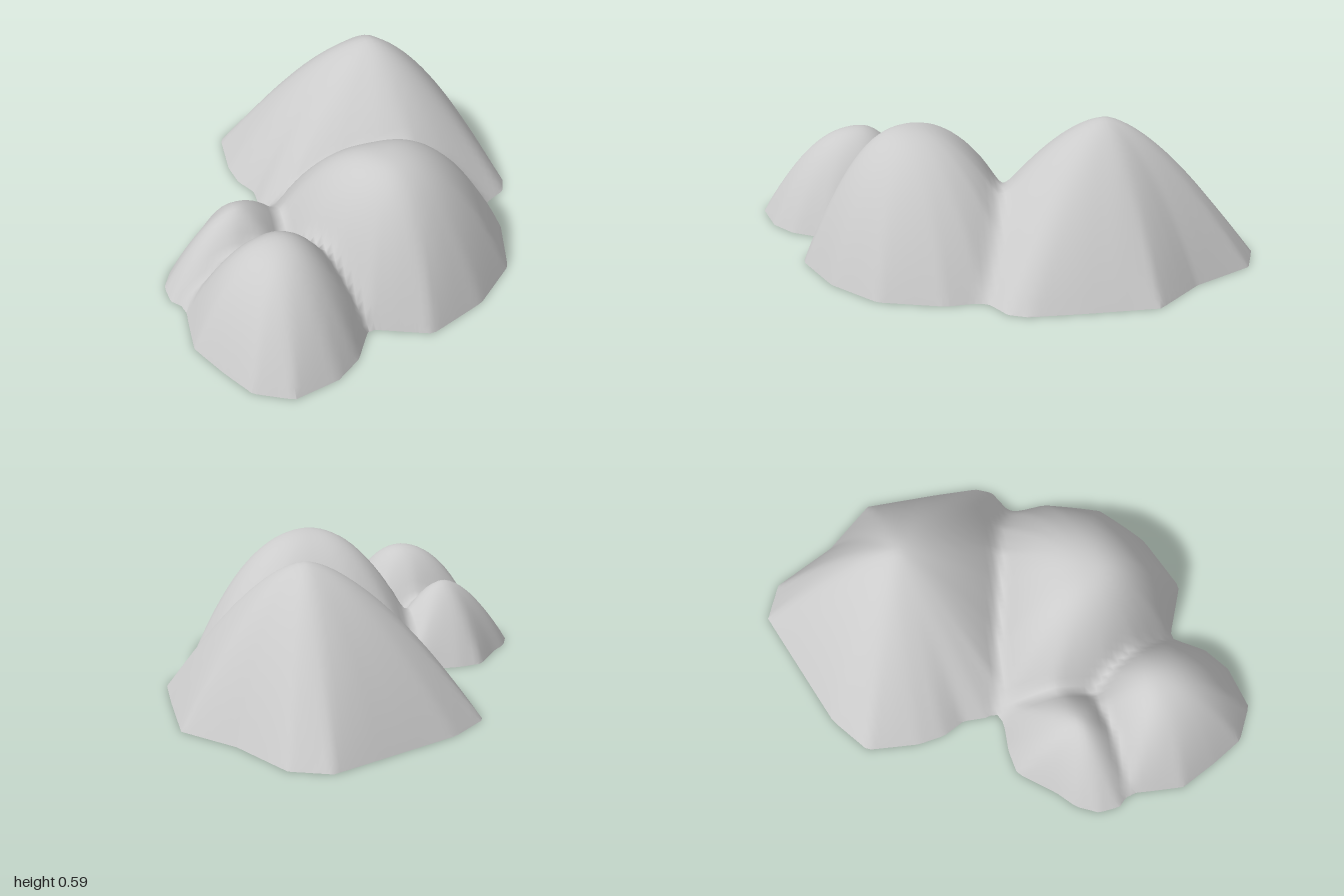
import * as THREE from 'three';
import { mergeVertices } from 'three/addons/utils/BufferGeometryUtils.js';

// Each mound: peak (x, z), height, roundness of its slope, and its footprint as [x, z] corners
const mounds = [
  { // back mound
    x: 0.27, z: -0.38, height: 0.59, power: 1.57,
    outline: [[0.3, -1], [0.45, -0.94], [0.59, -0.69], [0.77, -0.5], [0.778, -0.2], [0.778, 0],
      [0.75, 0.07], [0.63, 0.14], [0.36, 0.3], [0.05, 0.18], [-0.26, 0], [-0.3, -0.12], [-0.3, -0.22],
      [-0.35, -0.31], [-0.37, -0.42], [-0.36, -0.64], [-0.21, -0.77]],
  },
  { // middle mound
    x: 0.1, z: 0.38, height: 0.535, power: 2.2,
    outline: [[0.65, 0.29], [0.58, 0.54], [0.4, 0.71], [0.16, 0.82], [-0.07, 0.73], [-0.22, 0.58],
      [-0.32, 0.4], [-0.37, 0.12], [-0.27, -0.06], [-0.1, -0.11], [0.12, -0.12], [0.42, -0.12],
      [0.57, 0], [0.635, 0.14]],
  },
  { // front mound
    x: -0.37, z: 0.57, height: 0.39, power: 2.1,
    outline: [[-0.725, 0.5], [-0.73, 0.65], [-0.65, 0.8], [-0.57, 0.93], [-0.43, 1], [-0.25, 0.95],
      [-0.15, 0.87], [-0.07, 0.73], [-0.07, 0.5], [-0.18, 0.34], [-0.38, 0.27], [-0.6, 0.34], [-0.72, 0.42]],
  },
  { // side mound
    x: -0.465, z: 0.24, height: 0.305, power: 1.7,
    outline: [[-0.78, 0.28], [-0.74, 0.19], [-0.67, 0.12], [-0.56, -0.03], [-0.46, -0.05], [-0.36, -0.05],
      [-0.25, -0.06], [-0.14, 0.15], [-0.28, 0.42], [-0.55, 0.48], [-0.72, 0.42], [-0.77, 0.37]],
  },
];

// Distance from the peak as a share of the way to the footprint's edge
function edgeShare(m, px, pz) {
  let d = 0;
  m.outline.forEach(([ax, az], i) => {
    const [bx, bz] = m.outline[(i + 1) % m.outline.length];
    const ux = ax - m.x, uz = az - m.z, vx = bx - m.x, vz = bz - m.z;
    const det = ux * vz - uz * vx;
    const s = (px * vz - pz * vx) / det, t = (ux * pz - uz * px) / det;
    if (s >= -1e-9 && t >= -1e-9) d = Math.max(d, s + t);
  });
  return d;
}

// Height of one mound: full at the peak, 0 on the footprint, negative outside it
function moundHeight(m, x, z) {
  const px = x - m.x, pz = z - m.z;
  const sharp = edgeShare(m, px, pz);
  // the footprint's corners fade into a rounder form towards the peak
  const turns = [-0.3, -0.15, 0, 0.15, 0.3];
  const round = turns.reduce((sum, a) => {
    const c = Math.cos(a), s = Math.sin(a);
    return sum + edgeShare(m, px * c - pz * s, px * s + pz * c) / turns.length;
  }, 0);
  const d = THREE.MathUtils.lerp(round, sharp, Math.min(sharp, 1) ** 2);
  const p = m.power;
  return m.height * (d < 1 ? 1 - Math.pow(d, p) : p * (1 - d));
}

// Blend the mounds with soft valleys
function groundHeight(x, z) {
  const k = 0.08;
  return mounds.map((m) => moundHeight(m, x, z)).reduce((a, b) => {
    const h = Math.max(k - Math.abs(a - b), 0) / k;
    return Math.max(a, b) + h * h * k * 0.25;
  });
}

// Keep the part of a triangle above y = 0
function clipToGround(tri, out) {
  const poly = [];
  tri.forEach((a, i) => {
    const b = tri[(i + 1) % 3];
    if (a.y >= 0) poly.push(a);
    if ((a.y >= 0) !== (b.y >= 0)) {
      // always interpolate from the upper corner so neighbours share the same point
      const [hi, lo] = a.y >= 0 ? [a, b] : [b, a];
      const cut = hi.clone().lerp(lo, hi.y / (hi.y - lo.y));
      cut.y = 0;
      poly.push(cut);
    }
  });
  for (let i = 1; i + 1 < poly.length; i++) {
    for (const p of [poly[0], poly[i], poly[i + 1]]) out.push(p.x, p.y, p.z);
  }
}

export function createModel() {
  const step = 0.025, nx = 66, nz = 82;
  const grid = [];
  for (let j = 0; j <= nz; j++) {
    const row = [];
    for (let i = 0; i <= nx; i++) {
      const x = (i - nx / 2) * step, z = (j - nz / 2) * step;
      row.push(new THREE.Vector3(x, groundHeight(x, z), z));
    }
    grid.push(row);
  }

  const positions = [];
  for (let j = 0; j < nz; j++) {
    for (let i = 0; i < nx; i++) {
      const a = grid[j][i], b = grid[j + 1][i], c = grid[j + 1][i + 1], d = grid[j][i + 1];
      clipToGround([a, b, d], positions);
      clipToGround([b, c, d], positions);
    }
  }

  let geometry = new THREE.BufferGeometry();
  geometry.setAttribute('position', new THREE.Float32BufferAttribute(positions, 3));
  geometry = mergeVertices(geometry, 1e-5);
  geometry.computeVertexNormals();

  // Open shell, hollow underneath
  const hills = new THREE.Mesh(geometry, new THREE.MeshStandardMaterial({ color: 0xcccccc, side: THREE.DoubleSide }));
  hills.name = 'moundSurface';
  const group = new THREE.Group();
  group.name = 'moundCluster';
  group.add(hills);
  return group;
}
